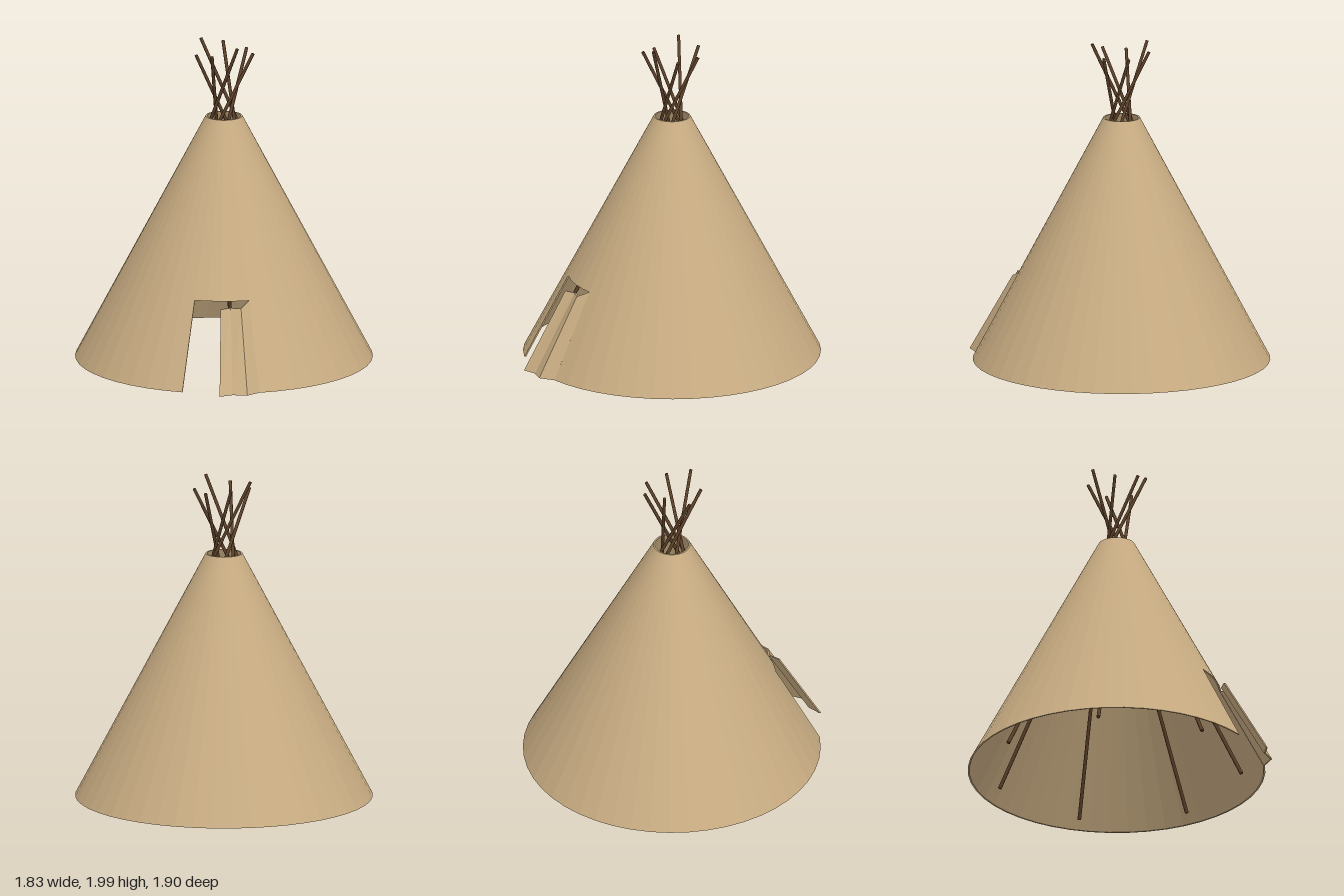
import * as THREE from 'three';

const AXIS_Z = -0.035;              // the cone sits a little behind the origin
const BASE_R = 0.915, TOP_R = 0.113, HEIGHT = 1.525;
const DOOR_H = 0.515, THICK = 0.01, SIDES = 48;
const STEP = (Math.PI * 2) / SIDES; // the doorway is four facets wide

const cloth = new THREE.MeshStandardMaterial({ color: 0xc8ac82, flatShading: true, side: THREE.DoubleSide });
const wood = new THREE.MeshStandardMaterial({ color: 0x5c4028 });

const radiusAt = (y) => BASE_R + (TOP_R - BASE_R) * (y / HEIGHT);

function addMesh(parent, name, geometry, material) {
  const mesh = new THREE.Mesh(geometry, material);
  mesh.name = name;
  parent.add(mesh);
  return mesh;
}

// Closed wall section between two heights
function wallProfile(y0, y1) {
  const r0 = radiusAt(y0), r1 = radiusAt(y1);
  return [[r0 - THICK, y0], [r0, y0], [r1, y1], [r1 - THICK, y1], [r0 - THICK, y0]]
    .map(([r, y]) => new THREE.Vector2(r, y));
}

// Folded sheet: outer and inner edge loops at the bottom and top, skinned and capped
function foldedSheet(bottom, top) {
  const loop = (pts) => [...pts, ...pts.map(([x, y, z]) => [x, y, z - THICK]).reverse()];
  const positions = [...loop(bottom), ...loop(top)].flat();
  const n = bottom.length * 2;
  const index = [];
  const quad = (a, b, c, d) => index.push(a, b, c, a, c, d);
  for (let i = 0; i < n; i++) {
    const j = (i + 1) % n;
    quad(j, i, n + i, n + j);
  }
  for (let i = 0; i < bottom.length - 1; i++) {
    quad(i, i + 1, n - 2 - i, n - 1 - i);
    quad(n + i + 1, n + i, 2 * n - 1 - i, 2 * n - 2 - i);
  }
  const indexed = new THREE.BufferGeometry();
  indexed.setAttribute('position', new THREE.Float32BufferAttribute(positions, 3));
  indexed.setIndex(index);
  const geometry = indexed.toNonIndexed();
  geometry.computeVertexNormals();
  return geometry;
}

export function createModel() {
  const model = new THREE.Group();
  model.name = 'tent';

  const tent = new THREE.Group();
  tent.name = 'coverAndPoles';
  tent.position.z = AXIS_Z;
  model.add(tent);

  // Cover: full ring above the doorway, open ring beside it
  addMesh(tent, 'upperCover', new THREE.LatheGeometry(wallProfile(DOOR_H, HEIGHT), SIDES), cloth);
  const lower = wallProfile(0, DOOR_H);
  addMesh(tent, 'lowerCover',
    new THREE.LatheGeometry(lower, SIDES - 4, 2 * STEP, (SIDES - 4) * STEP), cloth);

  // Cut edges of the cover at both sides of the doorway
  for (const side of [-1, 1]) {
    const edge = addMesh(tent, 'doorwayEdge', new THREE.ShapeGeometry(new THREE.Shape(lower)), cloth);
    edge.rotation.y = side * 2 * STEP - Math.PI / 2;
  }

  // Seven leaning poles, twisted past each other at the smoke hole
  const poleTops = [
    [0.18, 1.93, 0.035], [0.085, 1.99, 0.16], [-0.07, 1.94, 0.165], [-0.17, 1.92, 0.05],
    [-0.145, 1.99, -0.105], [-0.01, 1.955, -0.182], [0.137, 1.93, -0.115],
  ];
  const up = new THREE.Vector3(0, 1, 0);
  poleTops.forEach((p, i) => {
    const angle = THREE.MathUtils.degToRad(169) + (i * Math.PI * 2) / poleTops.length;
    const foot = new THREE.Vector3(0.77 * Math.cos(angle), 0.005, 0.77 * Math.sin(angle));
    const tip = new THREE.Vector3(...p);
    const along = tip.clone().sub(foot);
    const pole = addMesh(tent, 'pole', new THREE.CylinderGeometry(0.01, 0.012, along.length(), 8), wood);
    pole.position.copy(foot).lerp(tip, 0.5);
    pole.quaternion.setFromUnitVectors(up, along.normalize());
  });

  // Door flap folded outward from the left edge of the doorway
  addMesh(model, 'doorFlap', foldedSheet(
    [[0.237, 0, 0.849], [0.165, 0, 0.92], [0.075, 0, 0.91], [-0.005, 0, 0.95]],
    [[0.167, DOOR_H, 0.587], [0.12, 0.48, 0.65], [0.055, 0.48, 0.635], [-0.005, 0.48, 0.675]],
  ), cloth);

  return model;
}
